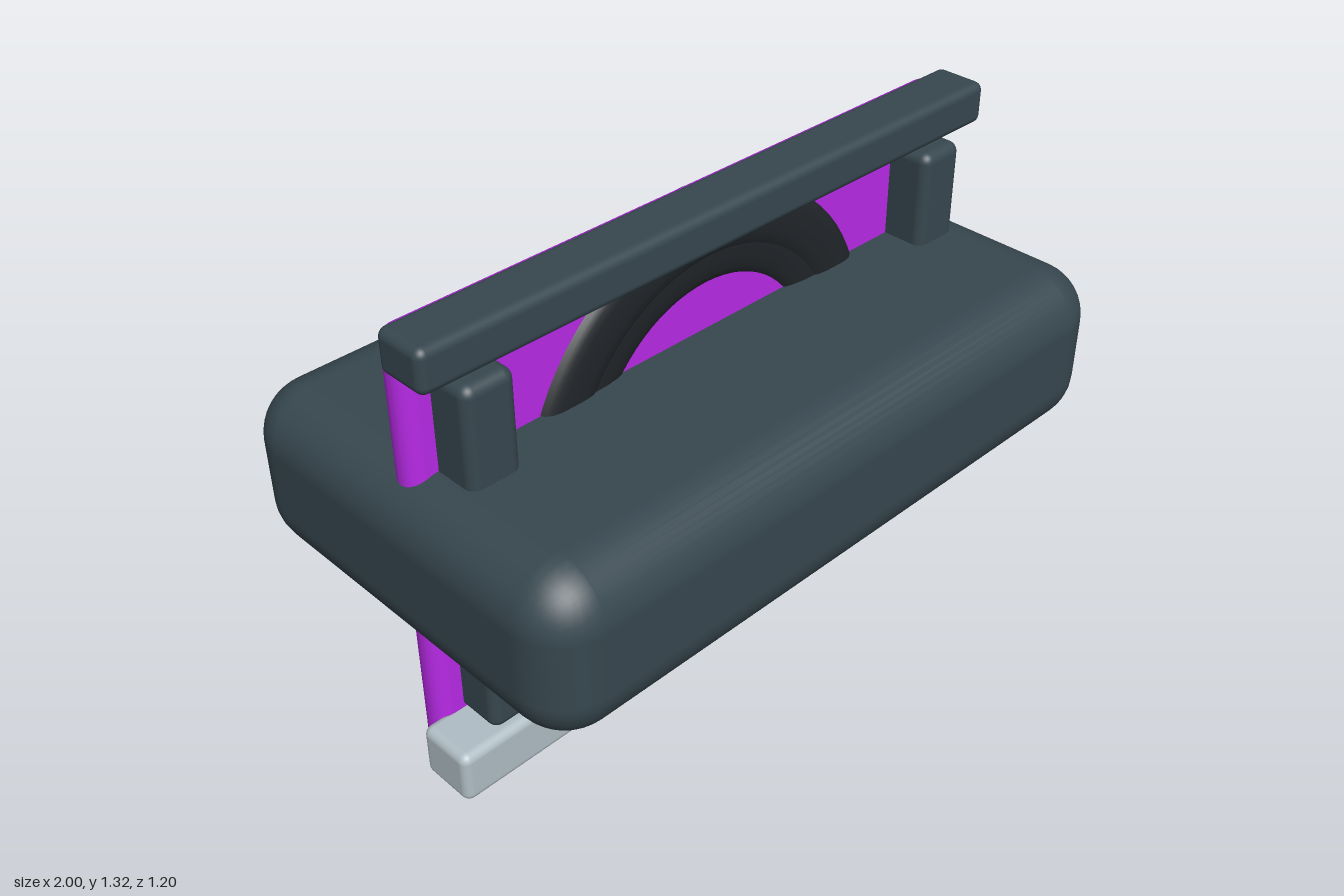
import * as THREE from 'three';
import { RoundedBoxGeometry } from 'three/addons/geometries/RoundedBoxGeometry.js';
import { toCreasedNormals } from 'three/addons/utils/BufferGeometryUtils.js';

const paint = (color) => new THREE.MeshStandardMaterial({ color });

// Rounded box given by its [min, max] on each axis
function block(name, [x0, x1], [y0, y1], [z0, z1], radius, material) {
  const geometry = new RoundedBoxGeometry(x1 - x0, y1 - y0, z1 - z0, 5, radius);
  const mesh = new THREE.Mesh(geometry, material);
  mesh.name = name;
  mesh.position.set((x0 + x1) / 2, (y0 + y1) / 2, (z0 + z1) / 2);
  return mesh;
}

// Ring lathed from a closed [radius, depth] half profile, mirrored front to back
function ring(name, half, material) {
  const back = half.map(([r, d]) => [r, -d]).reverse();
  const points = [...back, ...half, back[0]].map(([r, d]) => new THREE.Vector2(r, d));
  const geometry = toCreasedNormals(new THREE.LatheGeometry(points, 72), 0.5);
  geometry.rotateX(Math.PI / 2);
  const mesh = new THREE.Mesh(geometry, material);
  mesh.name = name;
  mesh.position.y = 0.665;
  return mesh;
}

export function createModel() {
  const model = new THREE.Group();
  model.name = 'model';
  const slate = paint(0x37474f);
  const purple = paint(0xb82ae6);
  const pale = paint(0xb0bec5);
  const rubber = paint(0x212529);
  rubber.side = THREE.DoubleSide;

  // Large cushioned body and the thin upright panel through it
  model.add(block('body', [-1, 1], [0.425, 0.905], [-0.6, 0.6], 0.15, slate));
  model.add(block('panel', [-0.935, 0.935], [0.03, 1.295], [-0.047, 0.047], 0.045, purple));

  // Wheel: outer tyre with bevelled shoulders and a lower inner lip
  model.add(ring('tyre', [[0.61, 0.045], [0.6, 0.058], [0.585, 0.068], [0.565, 0.073],
    [0.5, 0.073], [0.475, 0.07], [0.46, 0.062]], rubber));
  model.add(ring('tyreLip', [[0.465, 0.064], [0.43, 0.063], [0.4, 0.058],
    [0.385, 0.053], [0.375, 0.045]], rubber));

  // Front rails
  model.add(block('topRail', [-0.96, 0.96], [1.2, 1.32], [0.005, 0.16], 0.025, slate));
  model.add(block('bottomRail', [-0.98, 0.98], [0, 0.155], [0.025, 0.195], 0.025, pale));

  // Posts joining the rails
  for (const [name, x] of [['leftPost', 0.787], ['rightPost', -0.787]]) {
    model.add(block(name, [x - 0.074, x + 0.074], [0.15, 1.18], [0.02, 0.172], 0.03, slate));
  }
  return model;
}
